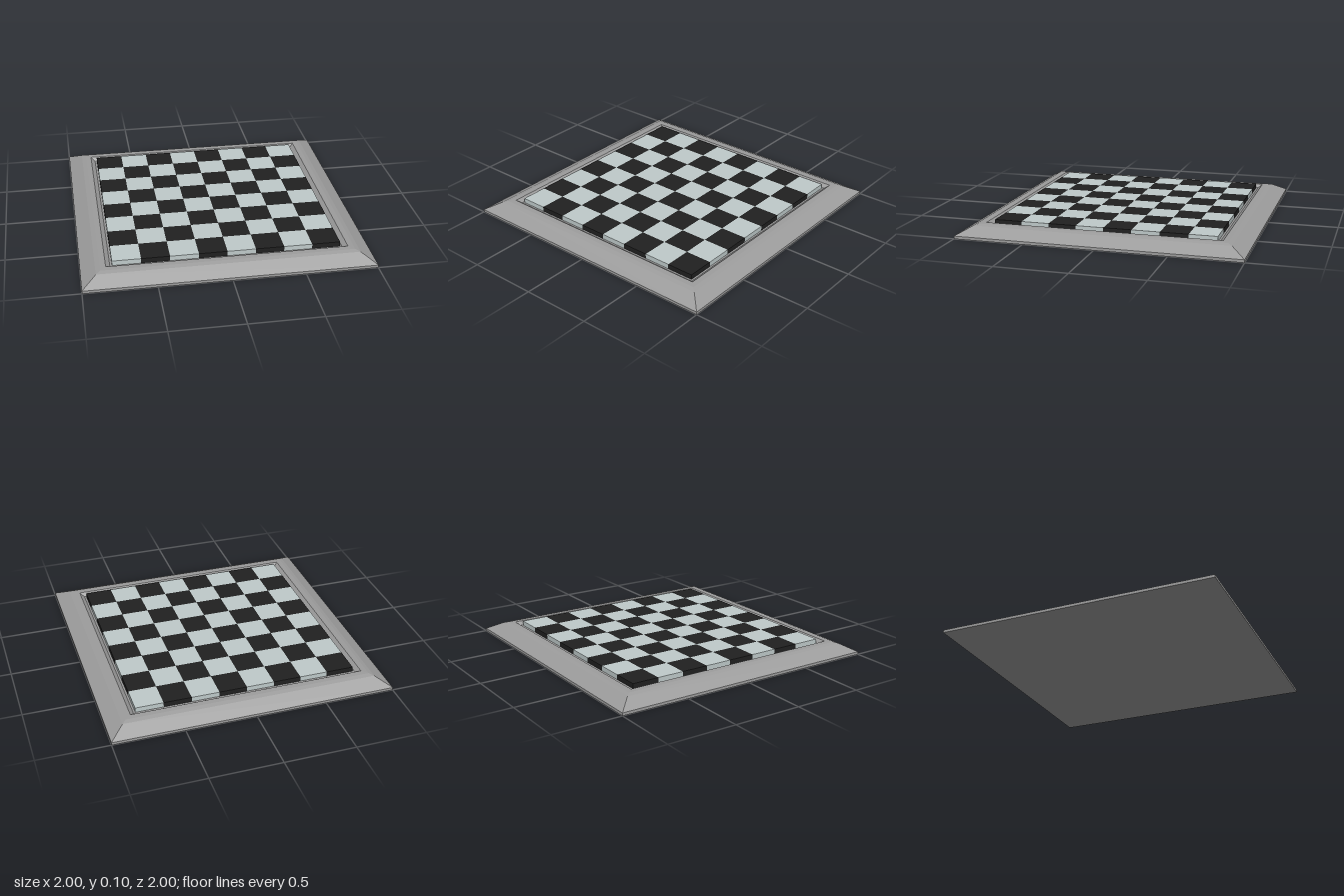
import * as THREE from 'three';

const material = (name, color) => {
  const m = new THREE.MeshStandardMaterial({ color });
  m.name = name;
  return m;
};

export function createModel() {
  const board = new THREE.Group();
  board.name = 'chessboard';
  const grey = material('frame grey', 0x9c9c9c);
  const dark = material('dark square', 0x202020);
  const light = material('light square', 0xbfcaca);

  // Square frame: half-width and height of each step, from base centre to recessed floor
  const profile = [
    [0, 0], [1, 0], [1, 0.02], [0.9, 0.075], [0.87, 0.083],
    [0.83, 0.085], [0.8, 0.062], [0, 0.062],
  ].map(([r, y]) => new THREE.Vector2(r * Math.SQRT2, y));
  const frameGeometry = new THREE.LatheGeometry(profile, 4, Math.PI / 4).toNonIndexed();
  frameGeometry.computeVertexNormals(); // crisp mitred faces
  const frame = new THREE.Mesh(frameGeometry, grey);
  frame.name = 'frame';
  board.add(frame);

  // Eight by eight raised squares, dark at the back left corner
  const size = 0.1965, bottom = 0.062, top = 0.097;
  const tileGeometry = new THREE.BoxGeometry(size, top - bottom, size);
  const squares = new THREE.Group();
  squares.name = 'squares';
  for (let row = 0; row < 8; row++) {
    for (let col = 0; col < 8; col++) {
      const isDark = (row + col) % 2 === 0;
      const tile = new THREE.Mesh(tileGeometry, isDark ? dark : light);
      tile.name = isDark ? 'darkSquare' : 'lightSquare';
      tile.position.set((col - 3.5) * size, (top + bottom) / 2, (row - 3.5) * size);
      squares.add(tile);
    }
  }
  board.add(squares);
  return board;
}
